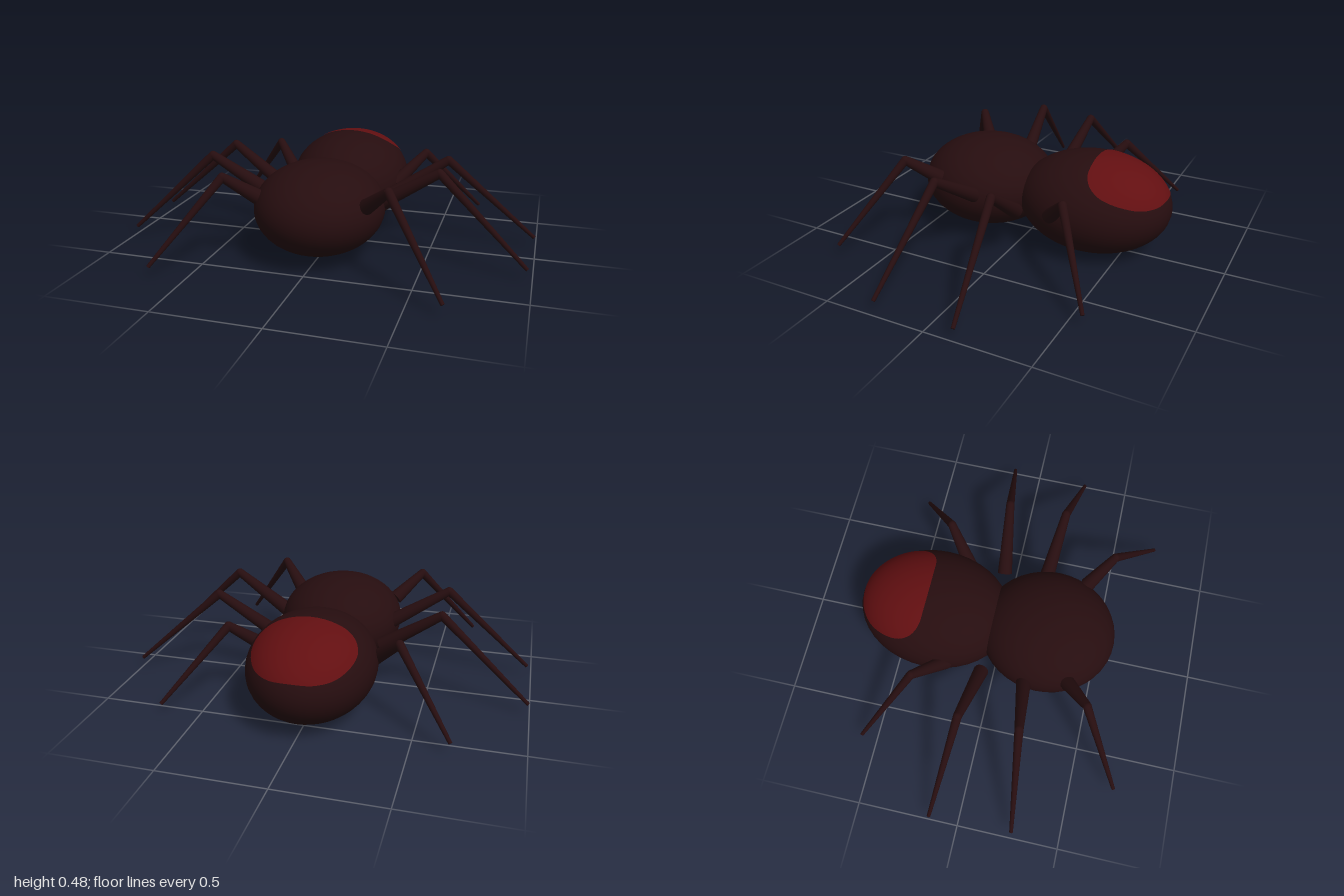
import * as THREE from 'three';

export function createModel() {
  const group = new THREE.Group();
  const shell = new THREE.MeshStandardMaterial({ name: 'dark shell', color: 0x260d0f });
  const red = new THREE.MeshStandardMaterial({ name: 'red marking', color: 0x620f11 });

  const add = (name, geometry, material, parent = group) => {
    const mesh = new THREE.Mesh(geometry, material);
    mesh.name = name;
    parent.add(mesh);
    return mesh;
  };

  // Two overlapping ellipsoid body halves
  const ellipsoid = (name, centre, radii) => {
    const mesh = add(name, new THREE.SphereGeometry(1, 40, 28), shell);
    mesh.position.copy(centre);
    mesh.scale.copy(radii);
  };
  const rearCentre = new THREE.Vector3(0, 0.24, -0.34);
  const rearRadii = new THREE.Vector3(0.303, 0.24, 0.38);
  ellipsoid('thorax', new THREE.Vector3(0, 0.25, 0.235), new THREE.Vector3(0.31, 0.22, 0.335));
  ellipsoid('abdomen', rearCentre, rearRadii);

  // Red marking: a thin skin over the abdomen, rounded behind and flat in front
  const half = [[0, -0.357], [0.1, -0.36], [0.17, -0.368], [0.213, -0.395], [0.235, -0.44],
    [0.236, -0.49], [0.22, -0.55], [0.187, -0.61], [0.142, -0.655], [0.08, -0.688], [0, -0.7]];
  const mirrored = half.slice(1, -1).reverse().map(([x, z]) => [-x, z]);
  const outline = new THREE.CatmullRomCurve3(
    [...half, ...mirrored].map(([x, z]) => new THREE.Vector3(x, 0, z)), true);
  const rings = 14, sides = 64;
  const patch = new THREE.PlaneGeometry(1, 1, sides, rings);
  const pos = patch.attributes.position, normal = patch.attributes.normal;
  const middle = new THREE.Vector3(0, 0, -0.52);
  for (let r = 0; r <= rings; r++) {
    for (let s = 0; s <= sides; s++) {
      const i = r * (sides + 1) + s;
      const p = outline.getPoint((s % sides) / sides).lerp(middle, 1 - r / rings);
      const u = p.x / rearRadii.x, w = (p.z - rearCentre.z) / rearRadii.z;
      const v = Math.sqrt(Math.max(0, 1 - u * u - w * w));
      const n = new THREE.Vector3(u / rearRadii.x, v / rearRadii.y, w / rearRadii.z).normalize();
      p.y = rearCentre.y + v * rearRadii.y;
      p.addScaledVector(n, 0.003);
      pos.setXYZ(i, p.x, p.y, p.z);
      normal.setXYZ(i, n.x, n.y, n.z);
    }
  }
  // Make every face point outward
  const index = patch.index;
  const [a, b, c] = [0, 1, 2].map(() => new THREE.Vector3());
  for (let i = 0; i < index.count; i += 3) {
    [a, b, c].forEach((q, k) => q.fromBufferAttribute(pos, index.getX(i + k)));
    if (b.sub(a).cross(c.sub(a)).y < 0) {
      const swap = index.getX(i + 1);
      index.setX(i + 1, index.getX(i + 2));
      index.setX(i + 2, swap);
    }
  }
  add('abdomenMarking', patch, red);

  // Tapered limb segment between two points
  const segment = (name, from, to, r0, r1, parent) => {
    const dir = to.clone().sub(from);
    const mesh = add(name, new THREE.CylinderGeometry(r1, r0, dir.length(), 16), shell, parent);
    mesh.position.copy(from).addScaledVector(dir, 0.5);
    mesh.quaternion.setFromUnitVectors(new THREE.Vector3(0, 1, 0), dir.normalize());
  };

  // Four legs on each side: root, knee, tip
  const legs = {
    front: [[0.26, 0.32, 0.38], [0.383, 0.435, 0.487], [0.663, 0.055, 0.71]],
    frontMiddle: [[0.28, 0.275, 0.172], [0.558, 0.45, 0.205], [0.975, 0.055, 0.265]],
    rearMiddle: [[0.27, 0.235, -0.045], [0.558, 0.435, -0.082], [0.99, 0.055, -0.142]],
    rear: [[0.265, 0.245, -0.225], [0.405, 0.39, -0.35], [0.675, 0.055, -0.57]],
  };
  for (const side of [1, -1]) {
    for (const [name, points] of Object.entries(legs)) {
      const leg = new THREE.Group();
      leg.name = name + (side > 0 ? 'LeftLeg' : 'RightLeg');
      group.add(leg);
      const [root, knee, tip] = points.map(([x, y, z]) => new THREE.Vector3(x * side, y, z));
      segment('upperLeg', root, knee, 0.037, 0.021, leg);
      add('knee', new THREE.SphereGeometry(0.021, 16, 12), shell, leg).position.copy(knee);
      segment('lowerLeg', knee, tip, 0.021, 0.009, leg);
    }
  }
  return group;
}
